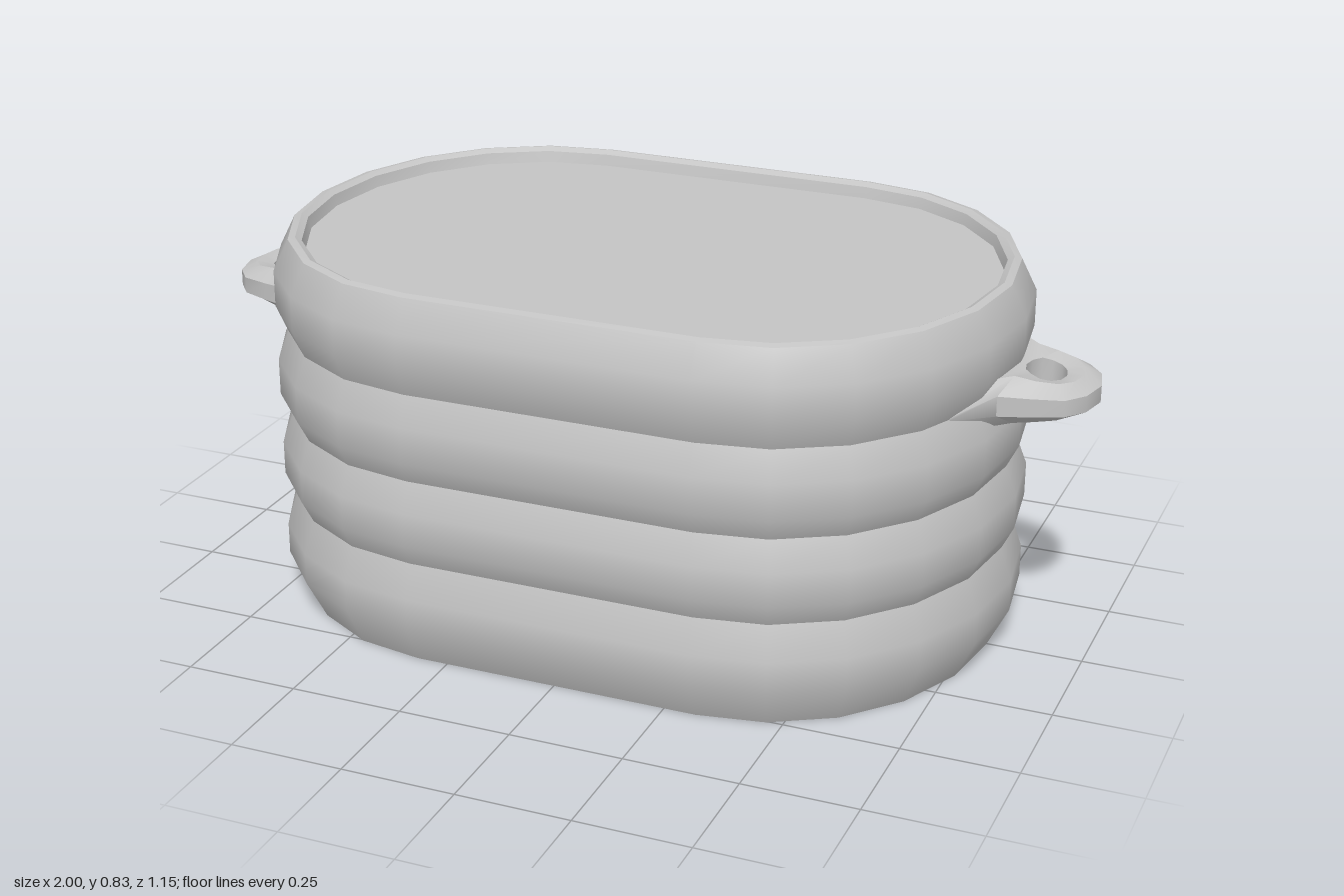
import * as THREE from 'three';
import { toCreasedNormals } from 'three/addons/utils/BufferGeometryUtils.js';

const CREASE = 0.68;
const SEGS = 10; // segments in each rounded end

// Skin a loop of cross-sections: point(i, j) -> [x, y, z], i closes on itself.
function skin(ni, nj, closeJ, point) {
  const pos = [], idx = [];
  for (let i = 0; i < ni; i++) for (let j = 0; j < nj; j++) pos.push(...point(i, j));
  for (let i = 0; i < ni; i++) {
    for (let j = 0; j < (closeJ ? nj : nj - 1); j++) {
      const i2 = (i + 1) % ni, j2 = (j + 1) % nj;
      const a = i * nj + j, b = i2 * nj + j, c = i * nj + j2, d = i2 * nj + j2;
      idx.push(a, c, b, b, c, d);
    }
  }
  const g = new THREE.BufferGeometry();
  g.setAttribute('position', new THREE.Float32BufferAttribute(pos, 3));
  g.setIndex(idx);
  return toCreasedNormals(g, CREASE);
}

// Rounded plan outline, shrunk by an inset: [x, z] pairs.
function outline(inset) {
  const pts = [];
  for (const side of [1, -1]) {
    for (let k = 0; k <= SEGS; k++) {
      const a = -Math.PI / 2 + (k / SEGS) * Math.PI;
      pts.push([
        side * (0.32 + (0.515 - inset) * Math.cos(a)),
        side * (0.575 - inset) * Math.sin(a),
      ]);
    }
  }
  return pts;
}

function cap(inset, y, up) {
  const shape = new THREE.Shape(outline(inset).map(([x, z]) => new THREE.Vector2(x, z)));
  return new THREE.ShapeGeometry(shape).rotateX(up ? -Math.PI / 2 : Math.PI / 2).translate(0, y, 0);
}

function lugGeometry() {
  // Outer outline [x, z, edge half height, crest half height], one per 30 degrees
  const half = [
    [1.0, 0, 0.018, 0.036], [0.985, 0.065, 0.018, 0.037], [0.95, 0.108, 0.018, 0.04],
    [0.885, 0.13, 0.02, 0.045], [0.82, 0.147, 0.022, 0.052], [0.75, 0.25, 0.003, 0.052],
    [0.75, 0, 0.04, 0.052],
  ];
  const section = [[0, -0.8], [0.5, -1], [1, -1], [1, 1], [0.5, 1], [0, 0.8]];
  return skin(12, section.length, true, (i, j) => {
    const [ox, oz, edge, crest] = half[i <= 6 ? i : 12 - i];
    const sz = i <= 6 ? 1 : -1;
    const a = (i / 12) * Math.PI * 2;
    const hx = 0.884 + 0.043 * Math.cos(a), hz = 0.055 * Math.sin(a);
    const [t, v] = section[j];
    return [hx + (ox - hx) * t, 0.62 + v * (t === 1 ? edge : crest), hz + (sz * oz - hz) * t];
  });
}

export function createModel() {
  const group = new THREE.Group();
  const grey = new THREE.MeshStandardMaterial({ color: 0xc4c4c4 });
  grey.name = 'light grey';
  const add = (geometry, name) => {
    const mesh = new THREE.Mesh(geometry, grey);
    mesh.name = name;
    group.add(mesh);
    return mesh;
  };

  // Stacked bulging bands, then the raised rim stepping down inside: [inset, y]
  const profile = [
    [0.045, 0], [0, 0.09], [0, 0.16],
    [0.025, 0.235], [0, 0.285], [0, 0.36],
    [0.025, 0.425], [0, 0.475], [0, 0.555],
    [0.025, 0.62], [0, 0.68], [0, 0.76],
    [0.034, 0.829], [0.05, 0.833], [0.064, 0.825], [0.07, 0.8],
  ];
  const rings = profile.map(([inset]) => outline(inset));
  add(skin(rings[0].length, profile.length, false, (i, j) => {
    const [x, z] = rings[j][i];
    return [x, profile[j][1], z];
  }), 'ribbedBody');

  // Recessed lid panel and flat base
  add(cap(0.07, 0.8, true), 'topPanel');
  add(cap(0.045, 0, false), 'base');

  // Pierced lugs at both ends
  const lug = lugGeometry();
  add(lug, 'leftLug');
  add(lug, 'rightLug').rotation.y = Math.PI;

  return group;
}
